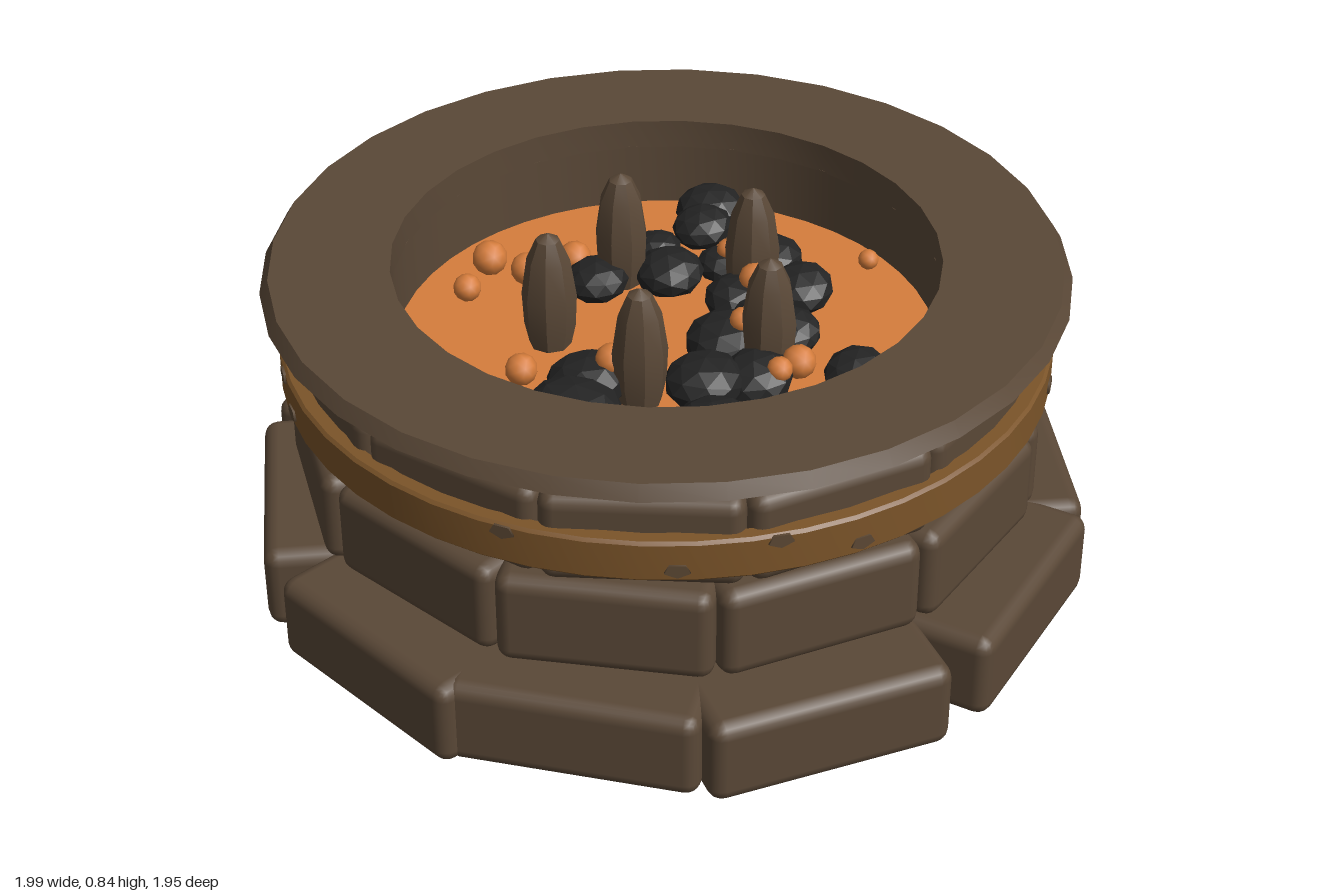
import * as THREE from 'three';
import { toCreasedNormals } from 'three/addons/utils/BufferGeometryUtils.js';
import { RoundedBoxGeometry } from 'three/addons/geometries/RoundedBoxGeometry.js';

const CX = -0.015; // shared axis of the round parts

export function createModel() {
  const root = new THREE.Group();
  root.name = 'firePit';

  const mat = (name, color, flatShading = false) => {
    const m = new THREE.MeshStandardMaterial({ color, flatShading });
    m.name = name;
    return m;
  };
  const stone = mat('stone', 0x5a4837);
  const bronze = mat('bronze', 0x7b5429);
  const tarnish = mat('tarnish', 0x5c4834);
  const ember = mat('ember', 0xd67d3c);
  const coal = mat('coal', 0x232323);

  let seed = 7;
  const rnd = () => (seed = (seed * 16807) % 2147483647) / 2147483647;

  const add = (parent, name, geo, material, x = 0, y = 0, z = 0) => {
    const m = new THREE.Mesh(geo, material);
    m.name = name;
    m.position.set(x, y, z);
    parent.add(m);
    return m;
  };
  const group = (name) => {
    const g = new THREE.Group();
    g.name = name;
    root.add(g);
    return g;
  };
  const lathe = (pts, sides) =>
    toCreasedNormals(new THREE.LatheGeometry(pts.map((p) => new THREE.Vector2(...p)), sides), 0.4);

  // Brick courses: angle runs from +x towards +z, reach is the outer face distance
  const brick = (course, deg, reach, cx, y0, y1, length, depth) => {
    const a = THREE.MathUtils.degToRad(deg);
    const r = reach - depth / 2;
    const b = add(course, 'brick', new RoundedBoxGeometry(length, y1 - y0, depth, 2, 0.035), stone,
      cx + Math.cos(a) * r, (y0 + y1) / 2, Math.sin(a) * r);
    b.rotation.y = Math.PI / 2 - a;
  };
  const lower = group('lowerCourse');
  [[20, 0.965], [55, 0.94], [87, 0.965], [125, 0.967], [162, 0.965],
    [194.5, 0.95], [228, 0.925], [272, 0.968], [306, 0.945], [341, 0.96]]
    .forEach(([deg, reach]) => brick(lower, deg, reach, 0, 0, 0.21, 0.57, 0.33));

  const middle = group('middleCourse');
  for (let i = 0; i < 11; i++) {
    brick(middle, 90 - 23 + 16.36 + (i * 360) / 11, 0.85 + (rnd() - 0.5) * 0.015, CX, 0.23, 0.455, 0.475, 0.21);
  }
  const upper = group('upperCourse');
  for (let i = 0; i < 12; i++) {
    brick(upper, 15 + i * 30, 0.845 + (rnd() - 0.5) * 0.015, CX, 0.47, 0.692, 0.435, 0.2);
  }

  // Inner lining, capstone rim and metal band
  add(root, 'lining', lathe([[0.63, 0.13], [0.642, 0.13], [0.642, 0.706], [0.63, 0.706], [0.63, 0.13]], 48), stone, CX);
  add(root, 'rim', lathe([[0.63, 0.703], [0.865, 0.703], [0.925, 0.742], [0.905, 0.775], [0.63, 0.775], [0.63, 0.703]], 32), stone, CX);
  add(root, 'band', lathe([[0.855, 0.515], [0.885, 0.515], [0.892, 0.522], [0.892, 0.608], [0.885, 0.615],
    [0.855, 0.615], [0.855, 0.515]], 48), bronze, CX);

  // Worn patches on the band
  const patches = group('bandPatches');
  [[14, 0.545], [40, 0.545], [64, 0.597], [26, 0.6], [111, 0.545], [116, 0.597],
    [165, 0.597], [205, 0.55], [235, 0.595], [262, 0.55], [290, 0.597], [325, 0.55]].forEach(([deg, y]) => {
    const a = THREE.MathUtils.degToRad(deg);
    const p = add(patches, 'patch', new THREE.CylinderGeometry(0.022, 0.022, 0.006, 5).rotateX(Math.PI / 2), tarnish,
      CX + Math.cos(a) * 0.892, y, Math.sin(a) * 0.892);
    p.rotation.y = Math.PI / 2 - a;
    p.scale.set(1.35, 0.8, 1);
  });

  // Fire bed
  add(root, 'bedFloor', new THREE.CylinderGeometry(0.632, 0.632, 0.1, 48), stone, CX, 0.49);
  add(root, 'emberBed', new THREE.CylinderGeometry(0.629, 0.629, 0.008, 48), ember, CX, 0.545);

  // Coals: x, z, radius
  const coals = group('coals');
  const lump = new THREE.IcosahedronGeometry(1, 1);
  const coalFlat = coal;
  coalFlat.flatShading = true;
  [[-0.34, -0.43, 0.085], [-0.29, -0.36, 0.075], [-0.29, -0.21, 0.065], [-0.06, -0.37, 0.085], [0.08, -0.34, 0.08],
    [-0.13, -0.28, 0.065], [-0.18, -0.155, 0.085], [-0.27, -0.005, 0.08], [0.02, -0.2, 0.09], [0.13, -0.18, 0.085],
    [0.2, -0.2, 0.07], [0.14, -0.05, 0.1], [0.29, 0.0, 0.085], [0.23, 0.1, 0.1], [0.43, -0.18, 0.08],
    [0.45, 0.03, 0.062], [0.49, 0.125, 0.09], [0.37, 0.2, 0.095], [0.05, 0.29, 0.095], [0.13, 0.4, 0.11],
    [0.29, 0.365, 0.07], [0.085, 0.515, 0.1], [0.245, 0.49, 0.09]].forEach(([x, z, r]) => {
    const c = add(coals, 'coal', lump, coalFlat, x, 0.56 + r * 0.3, z);
    c.scale.set(r, r * 0.6, r * (0.9 + rnd() * 0.15));
    c.rotation.set((rnd() - 0.5) * 0.4, rnd() * 6, (rnd() - 0.5) * 0.4);
  });

  // Glowing sparks: x, z, radius, height
  const sparks = group('sparks');
  const bead = new THREE.IcosahedronGeometry(1, 1);
  [[0.1, -0.545, 0.025, 0.59], [-0.375, -0.025, 0.04, 0.59], [-0.41, 0.095, 0.04, 0.59], [-0.495, 0.14, 0.043, 0.6],
    [-0.45, 0.245, 0.034, 0.58], [-0.08, 0.38, 0.038, 0.59], [-0.11, 0.515, 0.044, 0.59], [0.335, -0.09, 0.04, 0.61],
    [0.34, -0.025, 0.03, 0.62], [0.445, 0.215, 0.042, 0.63], [0.335, 0.315, 0.035, 0.6], [0.085, 0.25, 0.04, 0.64],
    [0.045, -0.225, 0.04, 0.64], [-0.12, -0.29, 0.028, 0.62], [0.17, -0.07, 0.032, 0.65]].forEach(([x, z, r, y]) => {
    add(sparks, 'spark', bead, ember, x, y, z).scale.setScalar(r);
  });

  // Five charred stakes in a ring
  const stakes = group('stakes');
  const stakeGeo = toCreasedNormals(new THREE.LatheGeometry(
    [[0, 0.53], [0.045, 0.53], [0.06, 0.6], [0.064, 0.68], [0.05, 0.775], [0.028, 0.825], [0, 0.842]]
      .map((p) => new THREE.Vector2(...p)), 8), 0.5);
  for (let i = 0; i < 5; i++) {
    const a = -Math.PI / 2 + (i * Math.PI * 2) / 5;
    const s = add(stakes, 'stake', stakeGeo, stone, CX + Math.cos(a) * 0.27, 0, Math.sin(a) * 0.27);
    s.rotation.y = i * 1.3;
  }
  return root;
}
